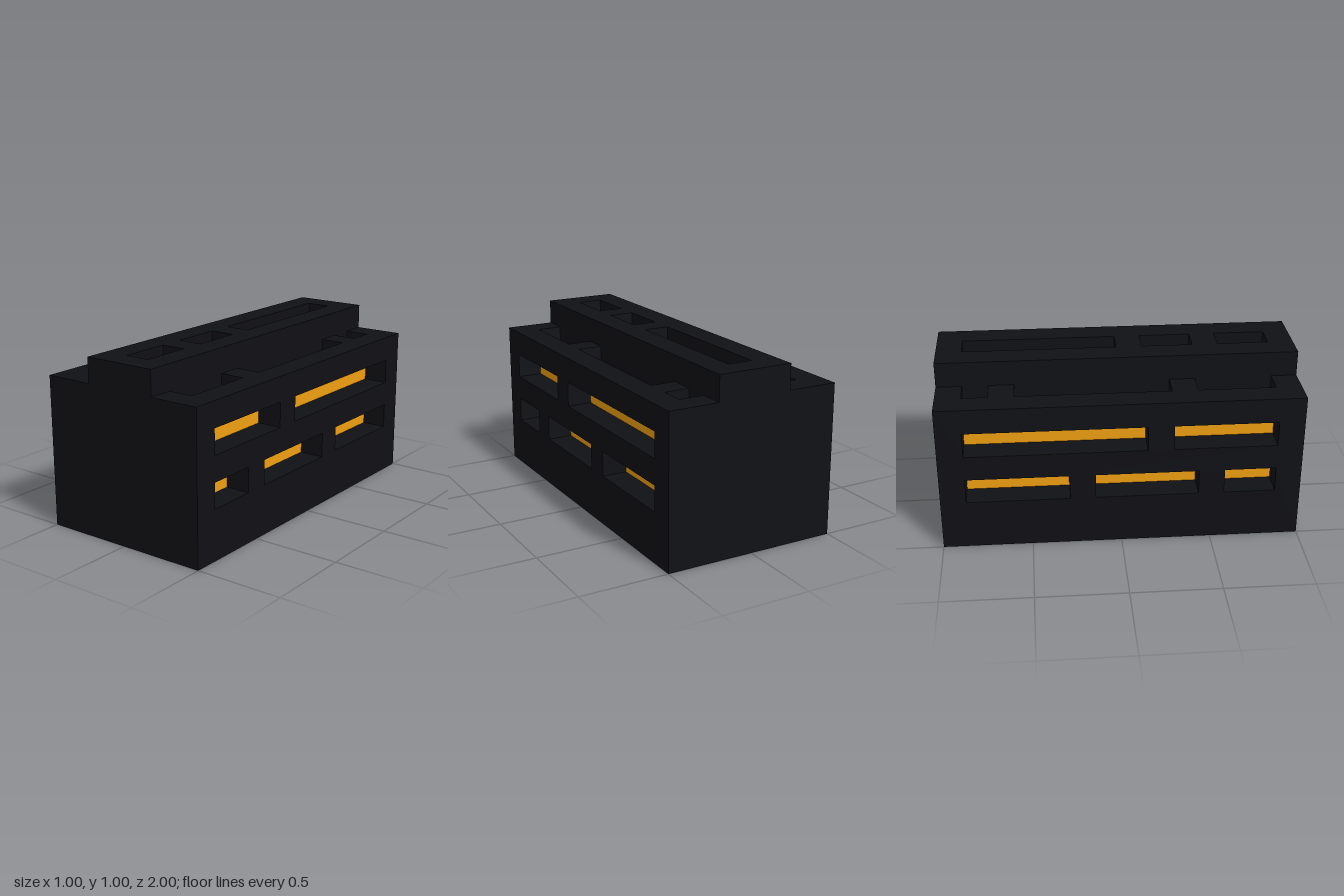
import * as THREE from 'three';

const U = 1 / 7; // one block; all sizes below are in blocks
const black = new THREE.MeshStandardMaterial({ color: 0x101115 });
const orange = new THREE.MeshStandardMaterial({ color: 0xf0a010 });

// Box given by its low and high corner
function box(name, material, [x0, y0, z0], [x1, y1, z1]) {
  const mesh = new THREE.Mesh(new THREE.BoxGeometry(x1 - x0, y1 - y0, z1 - z0), material);
  mesh.position.set((x0 + x1) / 2, (y0 + y1) / 2, (z0 + z1) / 2);
  mesh.name = name;
  return mesh;
}

function rectangle(path, x0, y0, x1, y1) {
  path.moveTo(x0, y0);
  path.lineTo(x1, y0);
  path.lineTo(x1, y1);
  path.lineTo(x0, y1);
  path.closePath();
  return path;
}

// Flat plate with rectangular slots cut right through
function slottedPlate(outline, slots, depth) {
  const shape = rectangle(new THREE.Shape(), ...outline);
  shape.holes = slots.map((s) => rectangle(new THREE.Path(), ...s));
  return new THREE.ExtrudeGeometry(shape, { depth, bevelEnabled: false });
}

export function createModel() {
  const model = new THREE.Group();
  model.name = 'slottedBlock';
  const body = new THREE.Group();
  body.name = 'body';
  body.scale.setScalar(U);
  model.add(body);

  // Orange core, seen at the bottom of every slot
  body.add(box('core', orange, [-2.5, 1, -6], [2.5, 5, 6]));
  body.add(box('coreRidge', orange, [-0.5, 5, -6], [0.5, 6, 6]));

  // Base and end plates
  body.add(box('base', black, [-2.5, 0, -6], [2.5, 1, 6]));
  body.add(box('frontPlate', black, [-2.5, 0, 6], [2.5, 5, 7]));
  body.add(box('backPlate', black, [-2.5, 0, -7], [2.5, 5, -6]));

  // Side walls with two rows of slots (z along, y up)
  const wall = slottedPlate([-7, 0, 7, 6], [
    [-6, 4, 1, 5], [2, 4, 6, 5],
    [-6, 2, -2, 3], [-1, 2, 3, 3], [4, 2, 6, 3],
  ], 1).rotateY(-Math.PI / 2);
  for (const [name, x] of [['leftWall', 3.5], ['rightWall', -2.5]]) {
    const mesh = new THREE.Mesh(wall, black);
    mesh.position.x = x;
    mesh.name = name;
    body.add(mesh);
  }

  // Raised ridge along the top with three slots
  const ridge = new THREE.Mesh(
    slottedPlate([-1.5, -7, 1.5, 7], [
      [-0.5, -6, 0.5, 0], [-0.5, 1, 0.5, 3], [-0.5, 4, 0.5, 6],
    ], 2).rotateX(Math.PI / 2), black);
  ridge.position.y = 7;
  ridge.name = 'ridge';
  body.add(ridge);

  // Bridges from ridge to walls, leaving the shoulder slots between them
  for (const [z0, z1] of [[-7, -6], [-5, -4], [2, 3], [6, 7]]) {
    body.add(box('leftBridge', black, [1.5, 5, z0], [2.5, 6, z1]));
    body.add(box('rightBridge', black, [-2.5, 5, z0], [-1.5, 6, z1]));
  }
  return model;
}
